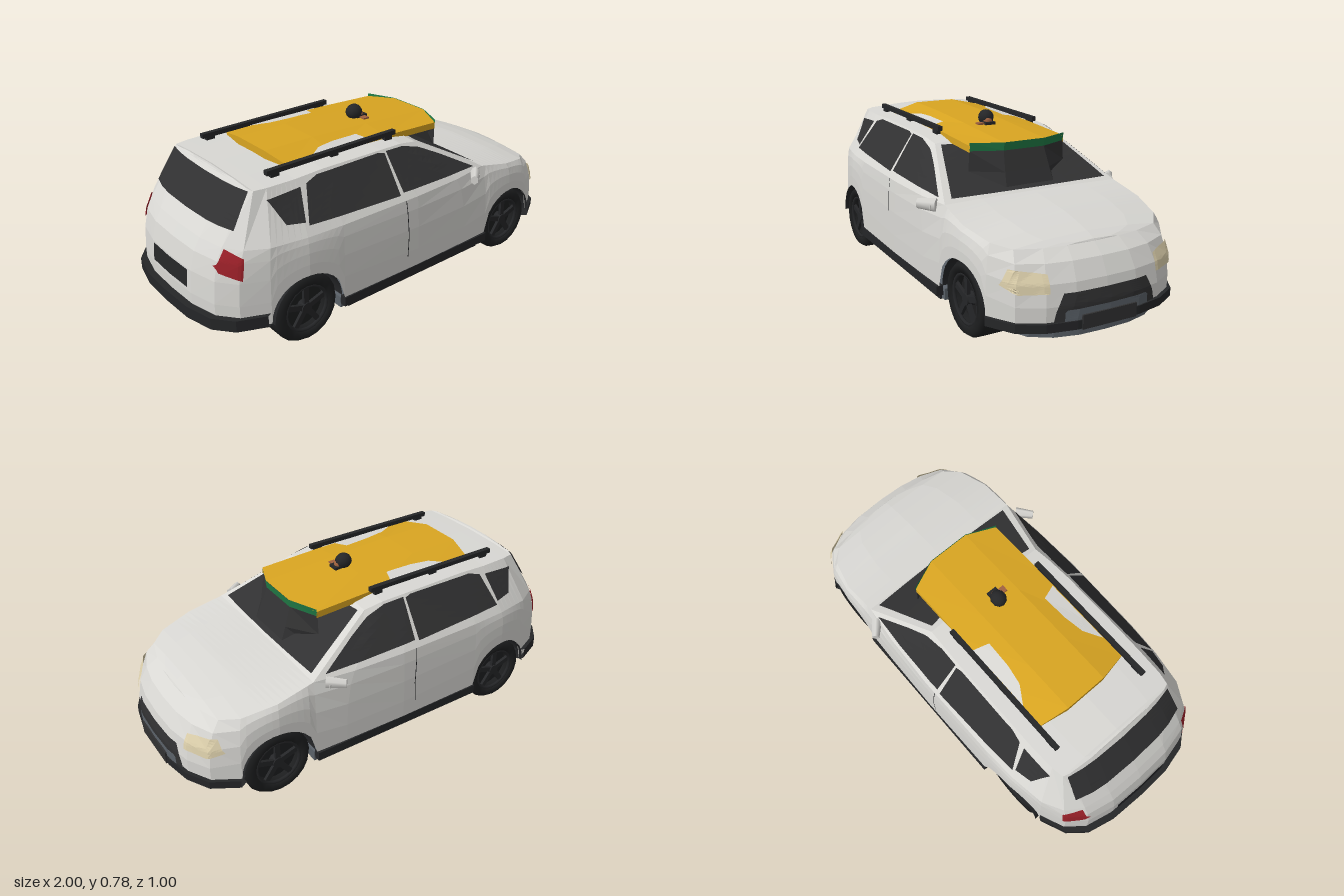
import * as THREE from 'three';

const mat = (name, color) => Object.assign(new THREE.MeshStandardMaterial({ color, side: THREE.DoubleSide }), { name });
const V = (x, y, z) => new THREE.Vector3(x, y, z);

export function createModel() {
  const paint = mat('white paint', 0xd8d7d3), glass = mat('dark glass', 0x313132), trim = mat('black trim', 0x252628),
    rubber = mat('tyre rubber', 0x1d1e1f), slate = mat('slate grey', 0x5b6269), lamp = mat('headlight cream', 0xdccfab),
    red = mat('tail red', 0x9a2028), yellow = mat('canopy yellow', 0xd9a521), green = mat('canopy green', 0x1f7a46),
    skin = mat('skin', 0xa0623f);
  const car = new THREE.Group();
  car.name = 'car';

  const add = (name, geo, m, x = 0, y = 0, z = 0, parent = car) => {
    const mesh = new THREE.Mesh(geo, m);
    mesh.name = name;
    mesh.position.set(x, y, z);
    parent.add(mesh);
    return mesh;
  };
  const box = (name, m, w, h, d, x, y, z) => add(name, new THREE.BoxGeometry(w, h, d), m, x, y, z);
  const flat = tris => {
    const g = new THREE.BufferGeometry().setFromPoints(tris);
    g.computeVertexNormals();
    return g;
  };
  // Faceted surface through rows of points
  const gridTris = rows => {
    const out = [];
    for (let i = 0; i + 1 < rows.length; i++)
      for (let j = 0; j + 1 < rows[i].length; j++) {
        const [a, b, c, d] = [rows[i][j], rows[i][j + 1], rows[i + 1][j + 1], rows[i + 1][j]];
        out.push(a, b, c, a, c, d);
      }
    return out;
  };
  const mirror = tris => tris.concat(tris.map(p => V(p.x, p.y, -p.z)));

  // Body columns, tail to nose: base x z, shoulder x z y, roof edge x z y
  const keys = [
    [-.97, 0, -.91, 0, .49, -.76, 0, .70], [-.965, .16, -.905, .16, .49, -.755, .16, .70],
    [-.935, .29, -.88, .285, .49, -.745, .27, .695], [-.87, .37, -.83, .36, .49, -.735, .30, .69],
    [-.755, .42, -.74, .41, .49, -.68, .31, .69], [-.585, .45, -.58, .435, .49, -.55, .315, .69],
    [-.415, .46, -.41, .445, .49, -.41, .315, .695], [0, .465, 0, .45, .49, -.1, .315, .69],
    [.30, .46, .25, .44, .49, .02, .31, .685], [.45, .455, .44, .42, .495, .11, .305, .67],
    [.62, .45, .61, .425, .46], [.79, .425, .76, .39, .43], [.90, .36, .83, .33, .415],
    [.955, .26, .86, .22, .41], [.98, .14, .875, .12, .41], [.985, 0, .88, 0, .41]];
  const wheelX = [-.585, .62], axleY = .155, archR = .17;
  const cols = [];
  keys.forEach((k, i) => {
    const next = keys[i + 1], n = [4, 5, 9, 10].includes(i) ? 6 : 1;
    for (let s = 0; s < n; s++) cols.push(s ? k.slice(0, next.length).map((v, j) => v + (next[j] - v) * s / n) : k);
  });
  const sillY = x => {
    const h = wheelX.map(c => archR ** 2 - (x - c) ** 2).find(q => q > -1e-9);
    if (h === undefined) return x < -.76 ? .155 : .13;
    return axleY + Math.sqrt(Math.max(h, 0));
  };
  const wallT = [[0, 0], [.3, 0], [.6, .15], [.85, .5], [1, 1]];
  const wall = cols.map(([xb, zb, xt, zt, yt]) => wallT.map(([t, s]) => {
    const y0 = sillY(xb);
    return V(xb + (xt - xb) * s, y0 + (yt - y0) * t, zb + (zt - zb) * s);
  }));
  const across = (x, y, z, crown) => [-1, -.6, 0, .6, 1].map(f => V(x, y + crown * (1 - f * f) * z / .4, z * f));
  const cowl = cols.indexOf(keys[9]);
  const cabin = cols.slice(0, cowl + 1), hood = cols.slice(cowl);
  const hoodRows = hood.map((c, i) => across(c[2], c[4], c[3], Math.min(.005 + i * .0024, .026)));
  const roofRows = cabin.map(c => across(c[5], c[7], c[6], .018));
  const body = add('bodyShell', flat([
    ...mirror(gridTris(wall)),
    ...mirror(gridTris(cabin.map(c => [V(c[2], c[4], c[3]), V(c[5], c[7], c[6])]))),
    ...gridTris(hoodRows), ...gridTris(roofRows), ...gridTris([hoodRows[0], roofRows[cowl]])]), paint);

  // Thin plates that follow a surface: outline seen along an axis, projected onto the target
  const ray = new THREE.Raycaster();
  const plate = (name, m, pts, axis, sign, target = body, lift = .006) => {
    const place = { x: (a, b) => V(2 * sign, b, a), y: (a, b) => V(a, 2, b), z: (a, b) => V(a, b, 2 * sign) }[axis];
    const dir = { x: V(-sign, 0, 0), y: V(0, -1, 0), z: V(0, 0, -sign) }[axis];
    const shape = new THREE.ShapeGeometry(new THREE.Shape(pts.map(p => new THREE.Vector2(...p)))).toNonIndexed();
    const pos = shape.attributes.position;
    let tris = Array.from({ length: pos.count }, (_, i) => V(pos.getX(i), pos.getY(i), 0));
    for (let k = 0; k < 3; k++) {
      const finer = [];
      for (let i = 0; i < tris.length; i += 3) {
        const [a, b, c] = tris.slice(i, i + 3);
        const ab = a.clone().lerp(b, .5), bc = b.clone().lerp(c, .5), ca = c.clone().lerp(a, .5);
        finer.push(a, ab, ca, ab, b, bc, ca, bc, c, ab, bc, ca);
      }
      tris = finer;
    }
    const hits = tris.map(p => {
      ray.set(place(p.x, p.y), dir);
      const hit = ray.intersectObject(target)[0];
      if (!hit) return null;
      const n = hit.face.normal.clone();
      if (n.dot(dir) > 0) n.negate();
      return hit.point.addScaledVector(n, lift);
    });
    const kept = [];
    for (let i = 0; i < hits.length; i += 3) if (hits[i] && hits[i + 1] && hits[i + 2]) kept.push(...hits.slice(i, i + 3));
    add(name, flat(kept), m);
  };
  const sym = half => [...half, ...half.map(([a, b]) => [-a, b]).reverse()];

  // Glass, lamps, grille and door seams
  for (const s of [1, -1]) {
    plate('quarterWindow', glass, [[-.695, .65], [-.54, .66], [-.57, .54], [-.65, .55]], 'z', s);
    plate('rearSideWindow', glass, [[-.51, .665], [-.45, .683], [-.12, .683], [-.09, .675], [-.09, .513], [-.56, .527]], 'z', s);
    plate('frontSideWindow', glass, [[-.08, .68], [.02, .675], [.11, .648], [.21, .6], [.38, .508], [-.07, .52]], 'z', s);
    plate('doorSeam', trim, [[-.07, .49], [-.066, .49], [-.056, .32], [-.061, .22], [-.065, .22], [-.06, .32]], 'z', s, body, .002);
    plate('tailLamp', red, [[-.915, .42], [-.875, .487], [-.835, .46], [-.85, .37], [-.91, .395]], 'z', s);
    plate('headlight', lamp, [[.39 * s, .293], [.362 * s, .352], [.243 * s, .333], [.243 * s, .266], [.35 * s, .264]], 'x', 1, body, .0095);
  }
  plate('windscreen', glass, sym([[.38, .506], [.285, .662]]), 'x', 1);
  plate('rearWindow', glass, sym([[.30, .55], [.285, .685]]), 'x', -1);
  plate('rearPlate', trim, sym([[.14, .275], [.14, .355]]), 'x', -1);
  plate('grille', glass, sym([[.235, .145], [.222, .2], [.19, .262]]), 'x', 1);
  plate('grilleInsert', slate, sym([[.19, .145], [.19, .19], [.18, .2]]), 'x', 1, body, .0095);
  box('frontPlate', glass, .008, .058, .25, .996, .146, 0);

  // Bumper bands, lower valance, sills and floor
  const band = (name, m, list, kx, kz, y0, y1) => add(name, flat(mirror(gridTris(list.map(([x, z]) =>
    [V(x * .9, y1, z * .9), V(x * kx, y1, z * kz), V(x * kx, y0, z * kz), V(x * .9, y0, z * .9)])))), m);
  band('frontBumper', trim, keys.slice(11), 1.015, 1.025, .12, .155);
  band('rearBumper', trim, keys.slice(0, 5), 1.03, 1.02, .153, .205);
  band('frontValance', slate, keys.slice(11), .985, .83, .08, .13);
  const floor = (name, m, half, bottom, depth) => {
    const plan = new THREE.Shape(half.concat(half.map(([x, z]) => [x, -z]).reverse()).map(p => new THREE.Vector2(...p)));
    add(name, new THREE.ExtrudeGeometry(plan, { depth, bevelEnabled: false }).rotateX(Math.PI / 2), m, 0, bottom + depth, 0);
  };
  floor('floor', slate, [[-.735, .27], [-.415, .27], [-.415, .43], [.45, .43], [.45, .27],
    [.79, .27], [.79, .35], [.9, .3], [.95, .15]], .088, .05);
  floor('rearFloor', slate, [[-.97, .1], [-.94, .28], [-.87, .36], [-.765, .41], [-.73, .27]], .142, .02);
  for (const s of [1, -1]) {
    box('sill', trim, .87, .042, .03, .015, .134, s * .452);
    box('lowerSill', trim, .8, .035, .03, .02, .1, s * .422);
  }

  // Wheels with rim, spokes and arch liner
  const tyre = new THREE.LatheGeometry([[.108, -.07], [.14, -.075], [.155, -.055], [.155, .055], [.14, .075], [.108, .07], [.1, .03]]
    .map(p => new THREE.Vector2(...p)), 20).rotateX(Math.PI / 2);
  for (const x of wheelX) for (const s of [1, -1]) {
    const wheel = new THREE.Group();
    wheel.name = 'wheel';
    wheel.position.set(x, axleY, s * .357);
    if (s < 0) wheel.rotation.y = Math.PI;
    car.add(wheel);
    add('tyre', tyre, rubber, 0, 0, 0, wheel);
    add('rimBack', new THREE.CircleGeometry(.11, 20), rubber, 0, 0, .03, wheel);
    add('rimRing', new THREE.TorusGeometry(.103, .008, 6, 20), trim, 0, 0, .062, wheel);
    add('hub', new THREE.CylinderGeometry(.025, .03, .035, 10).rotateX(Math.PI / 2), trim, 0, 0, .05, wheel);
    for (let i = 0; i < 5; i++)
      add('spoke', new THREE.BoxGeometry(.024, .09, .014).translate(0, .06, .056), trim, 0, 0, 0, wheel).rotation.z = i * Math.PI * .4;
    add('archLiner', new THREE.CylinderGeometry(archR, archR, .17, 16, 1, true, Math.PI / 2, Math.PI).rotateX(Math.PI / 2), trim, x, axleY, s * .355);
    add('archBack', new THREE.CircleGeometry(archR, 16, 0, Math.PI), trim, x, axleY, s * .272);
  }

  // Door mirrors and roof rails
  for (const s of [1, -1]) {
    add('mirror', new THREE.CylinderGeometry(.022, .03, .085, 6).rotateX(s * Math.PI / 2).scale(.8, 1, 1), paint, .352, .481, s * .458).rotation.y = -s * .85;
    box('mirrorArm', paint, .03, .016, .06, .37, .475, s * .43);
    box('roofRail', trim, .68, .02, .022, -.3, .718, s * .245);
    for (const x of [-.6, -.3, 0]) box('railFoot', trim, .04, .04, .02, x, .695, s * .245);
  }

  // Canopy standing through the roof: x edge, x centre, ridge y, edge y
  const canopyRows = [[-.52, -.545, .738, .708], [-.3, -.3, .735, .708], [0, 0, .722, .704], [.305, .36, .702, .69]].map(([xe, xc, yc, ye]) =>
    [[.235, ye - .03, xe], [.235, ye, xe], [.1, yc, xc], [-.1, yc, xc], [-.235, ye, xe], [-.235, ye - .03, xe]].map(([z, y, x]) => V(x, y, z)));
  const canopy = add('canopy', flat(gridTris(canopyRows)), yellow);
  add('canopyBack', flat(gridTris([canopyRows[0].slice(1, 5), canopyRows[0].slice(1, 5).map(p => V(p.x, .67, p.z))])), yellow);
  for (const s of [1, -1])
    plate('roofPatch', paint, [[-.41, .23 * s], [-.33, .18 * s], [-.24, .165 * s], [-.11, .16 * s], [-.085, .23 * s]], 'y', 1, canopy, .003);
  const front = (y, xe, ze, xc, zc) => [V(xe, y, ze), V(xc, y, zc), V(xc, y, -zc), V(xe, y, -ze)];
  add('canopyBand', flat(gridTris([front(.703, .306, .236, .362, .1), front(.667, .3, .236, .358, .1)])), green);
  add('canopyScreen', flat(gridTris([front(.667, .3, .235, .356, .1), front(.58, .3, .24, .388, .11), front(.49, .3, .2, .424, .12)])), glass);

  // Rider's head above the canopy
  add('helmet', new THREE.SphereGeometry(.036, 10, 8).scale(1.1, 1, 1), trim, .015, .745, 0);
  add('face', new THREE.SphereGeometry(.022, 8, 6), skin, .038, .732, .004);
  box('collar', trim, .06, .025, .05, .04, .718, .005);
  box('shoulder', skin, .03, .012, .04, .04, .721, .04);

  // Running gear under the floor
  for (const x of [.31, -.28]) {
    add('innerTyre', new THREE.TorusGeometry(.085, .026, 8, 20), rubber, x, .111, 0);
    add('innerHub', new THREE.CylinderGeometry(.03, .03, .06, 10).rotateX(Math.PI / 2), trim, x, .111, 0);
  }
  for (const s of [1, -1]) add('rearInnerTyre', new THREE.TorusGeometry(.085, .026, 8, 16), rubber, -.44, .111, s * .3);
  const fender = new THREE.Shape().absarc(0, 0, .105, Math.PI, Math.PI * 2, false).absarc(0, 0, .07, Math.PI * 2, Math.PI, true);
  add('yellowFender', new THREE.ExtrudeGeometry(fender, { depth: .064, bevelEnabled: false, curveSegments: 10 }), yellow, .49, .11, -.032);
  box('greenCrossbar', green, .11, .012, .5, -.64, .088, 0);
  [[-.07, .085], [.06, .085]].forEach(([x, z]) => {
    box('leg', skin, .03, .05, .025, x, .08, z);
    box('shoe', trim, .07, .05, .035, x + .015, .03, z);
  });
  for (let i = 0; i < 7; i++)
    box('engineFin', paint, .012, .075, .014, -.11 + i * .043, .05, i % 2 ? .045 : -.04).rotation.z = i % 2 ? .25 : -.15;
  box('engineBlock', trim, .2, .05, .05, .02, .06, 0);
  return car;
}
